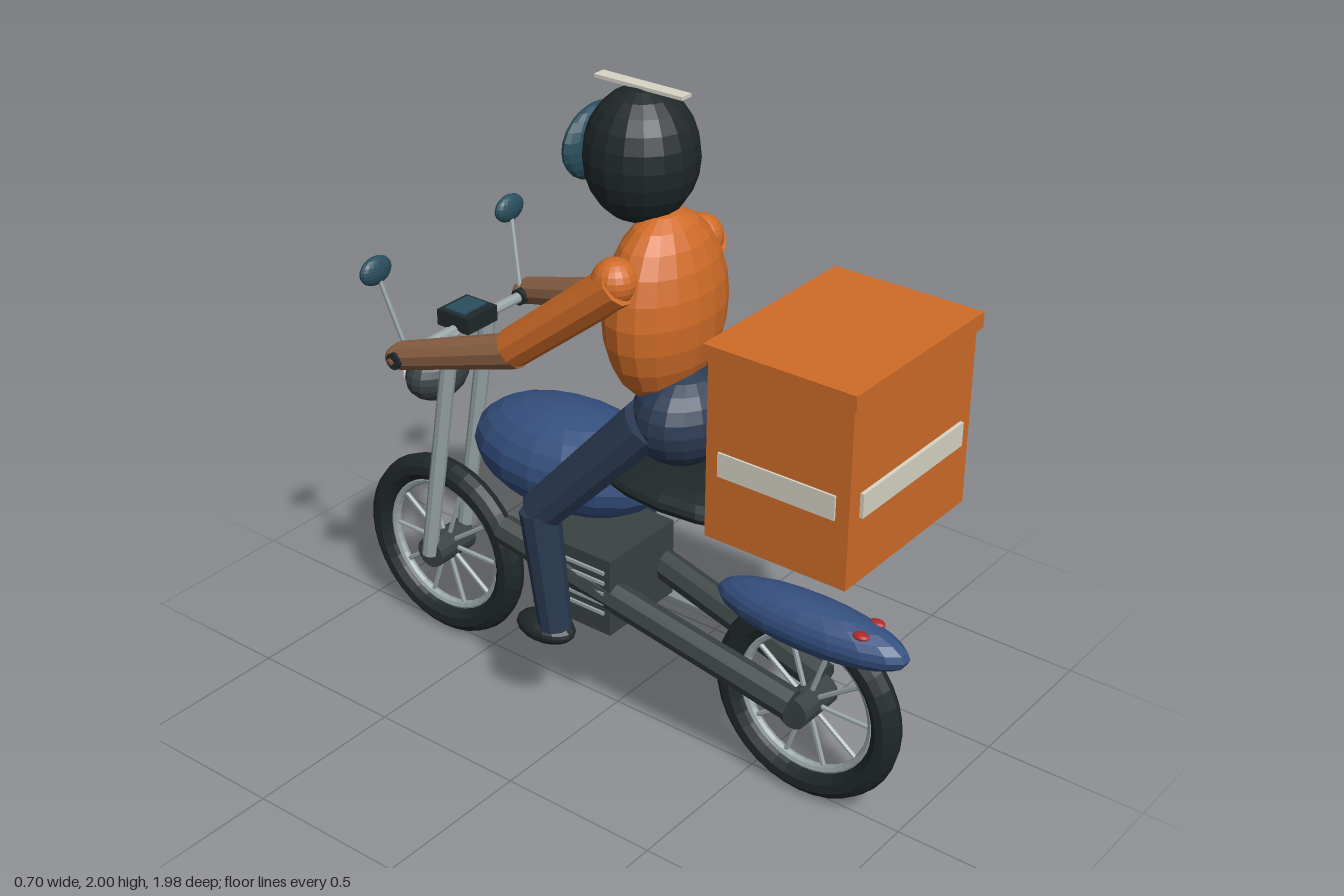
import * as THREE from 'three';

const mat = (color) => new THREE.MeshStandardMaterial({ color, flatShading: true });
const M = {
  black: mat(0x20282a), dark: mat(0x3a4242), steel: mat(0x9aa6a8), blue: mat(0x35507f),
  denim: mat(0x2a3a52), orange: mat(0xd06c28), skin: mat(0x8a6044), teal: mat(0x2a4f5e),
  cream: mat(0xd8d5c6), red: mat(0xb02a2a),
};

export function createModel() {
  const root = new THREE.Group();

  const add = (name, geo, material, pos = [0, 0, 0], parent = root) => {
    const mesh = new THREE.Mesh(geo, material);
    mesh.name = name;
    mesh.position.set(...pos);
    parent.add(mesh);
    return mesh;
  };
  const box = (name, size, pos, m, parent) => add(name, new THREE.BoxGeometry(...size), m, pos, parent);
  // Ellipsoid from its half sizes
  const blob = (name, half, pos, m, parent) =>
    add(name, new THREE.SphereGeometry(1, 18, 12).scale(...half), m, pos, parent);
  // Straight tube or limb between two points
  const rod = (name, a, b, r0, r1, m, sides = 10, parent = root) => {
    const va = new THREE.Vector3(...a), vb = new THREE.Vector3(...b);
    const d = vb.clone().sub(va);
    const mid = va.add(vb).multiplyScalar(0.5);
    const mesh = add(name, new THREE.CylinderGeometry(r1, r0, d.length(), sides), m, mid.toArray(), parent);
    mesh.quaternion.setFromUnitVectors(new THREE.Vector3(0, 1, 0), d.normalize());
    return mesh;
  };

  // Wheels: tyre, rim, spokes and hub
  const wheel = (name, z) => {
    const g = new THREE.Group();
    g.name = name;
    g.position.set(0, 0.31, z);
    root.add(g);
    add('tyre', new THREE.TorusGeometry(0.262, 0.043, 10, 36).rotateY(Math.PI / 2), M.black, [0, 0, 0], g);
    add('rim', new THREE.TorusGeometry(0.218, 0.016, 8, 36).rotateY(Math.PI / 2), M.steel, [0, 0, 0], g);
    for (let i = 0; i < 10; i++) {
      const a = (i / 10) * Math.PI * 2;
      rod('spoke', [0, 0, 0], [0, 0.215 * Math.sin(a), 0.215 * Math.cos(a)], 0.008, 0.008, M.steel, 6, g);
    }
    rod('hub', [-0.08, 0, 0], [0.08, 0, 0], 0.05, 0.05, M.dark, 14, g);
  };
  wheel('frontWheel', -0.685);
  wheel('rearWheel', 0.68);

  // Bodywork
  blob('fuelTank', [0.2, 0.16, 0.33], [0, 0.81, -0.175], M.blue);
  blob('seat', [0.2, 0.06, 0.36], [0, 0.89, 0.29], M.black);
  blob('rearFender', [0.09, 0.08, 0.315], [0, 0.572, 0.68], M.blue);
  rod('backbone', [0, 0.795, 0.31], [0, 0.795, -0.4], 0.036, 0.036, M.dark);

  // Engine with cooling fins and exhaust
  box('engine', [0.3, 0.25, 0.29], [0, 0.485, -0.055], M.dark);
  for (let i = 0; i < 5; i++) box('coolingFin', [0.315, 0.01, 0.25], [0, 0.43 + i * 0.034, -0.055], M.steel);
  rod('exhaust', [0.215, 0.327, 0.43], [0.175, 0.365, -0.33], 0.048, 0.048, M.steel, 12);

  // Headlight and instruments
  blob('headlight', [0.115, 0.083, 0.08], [0, 0.91, -0.695], M.dark);
  blob('headlightLens', [0.085, 0.055, 0.022], [0, 0.915, -0.757], M.cream);
  rod('handlebar', [-0.32, 1.115, -0.56], [0.32, 1.115, -0.56], 0.017, 0.017, M.steel);
  box('instrumentBox', [0.13, 0.05, 0.12], [0, 1.14, -0.565], M.black);
  box('instrumentScreen', [0.1, 0.008, 0.075], [0, 1.167, -0.57], M.teal);

  // Mirrored parts of the bike and the rider
  for (const s of [-1, 1]) {
    rod('fork', [s * 0.08, 0.31, -0.685], [s * 0.08, 1.12, -0.555], 0.025, 0.025, M.steel);
    rod('swingArm', [s * 0.08, 0.34, 0.68], [s * 0.14, 0.565, -0.32], 0.048, 0.045, M.dark, 8);
    rod('grip', [s * 0.22, 1.115, -0.56], [s * 0.325, 1.115, -0.56], 0.026, 0.026, M.black);
    rod('mirrorStalk', [s * 0.25, 1.12, -0.575], [s * 0.285, 1.34, -0.635], 0.008, 0.008, M.steel, 6);
    blob('mirror', [0.06, 0.043, 0.025], [s * 0.288, 1.363, -0.645], M.teal);
    blob('tailLight', [0.018, 0.01, 0.025], [s * 0.04, 0.625, 0.865], M.red);

    blob('shoulder', [0.065, 0.065, 0.065], [s * 0.19, 1.52, 0.14], M.orange);
    rod('upperArm', [s * 0.2, 1.52, 0.16], [s * 0.232, 1.24, -0.185], 0.062, 0.058, M.orange);
    rod('forearm', [s * 0.228, 1.235, -0.17], [s * 0.28, 1.115, -0.57], 0.052, 0.042, M.skin);
    blob('hand', [0.05, 0.036, 0.045], [s * 0.278, 1.112, -0.57], M.skin);
    rod('thigh', [s * 0.13, 1.09, 0.2], [s * 0.21, 0.735, -0.115], 0.075, 0.065, M.denim);
    rod('shin', [s * 0.22, 0.745, -0.11], [s * 0.205, 0.36, -0.07], 0.06, 0.05, M.denim);
    blob('shoe', [0.065, 0.042, 0.1], [s * 0.2, 0.34, -0.11], M.black);
  }

  // Rider's body and helmet
  blob('pelvis', [0.18, 0.145, 0.142], [0, 1.085, 0.243], M.denim);
  blob('torso', [0.215, 0.28, 0.145], [0, 1.39, 0.165], M.orange);
  blob('helmet', [0.16, 0.19, 0.16], [0, 1.805, 0.08], M.black);
  blob('visor', [0.14, 0.107, 0.042], [0, 1.808, -0.072], M.teal);
  box('helmetStripe', [0.04, 0.01, 0.29], [0, 1.995, 0.08], M.cream);

  // Delivery box with lid and reflective strips
  box('deliveryBox', [0.575, 0.52, 0.44], [0, 1.19, 0.738], M.orange);
  box('boxLid', [0.6, 0.045, 0.46], [0, 1.472, 0.74], M.orange);
  box('backStrip', [0.48, 0.07, 0.014], [0, 1.16, 0.962], M.cream);
  for (const s of [-1, 1]) box('sideStrip', [0.012, 0.07, 0.36], [s * 0.288, 1.16, 0.738], M.cream);

  return root;
}
